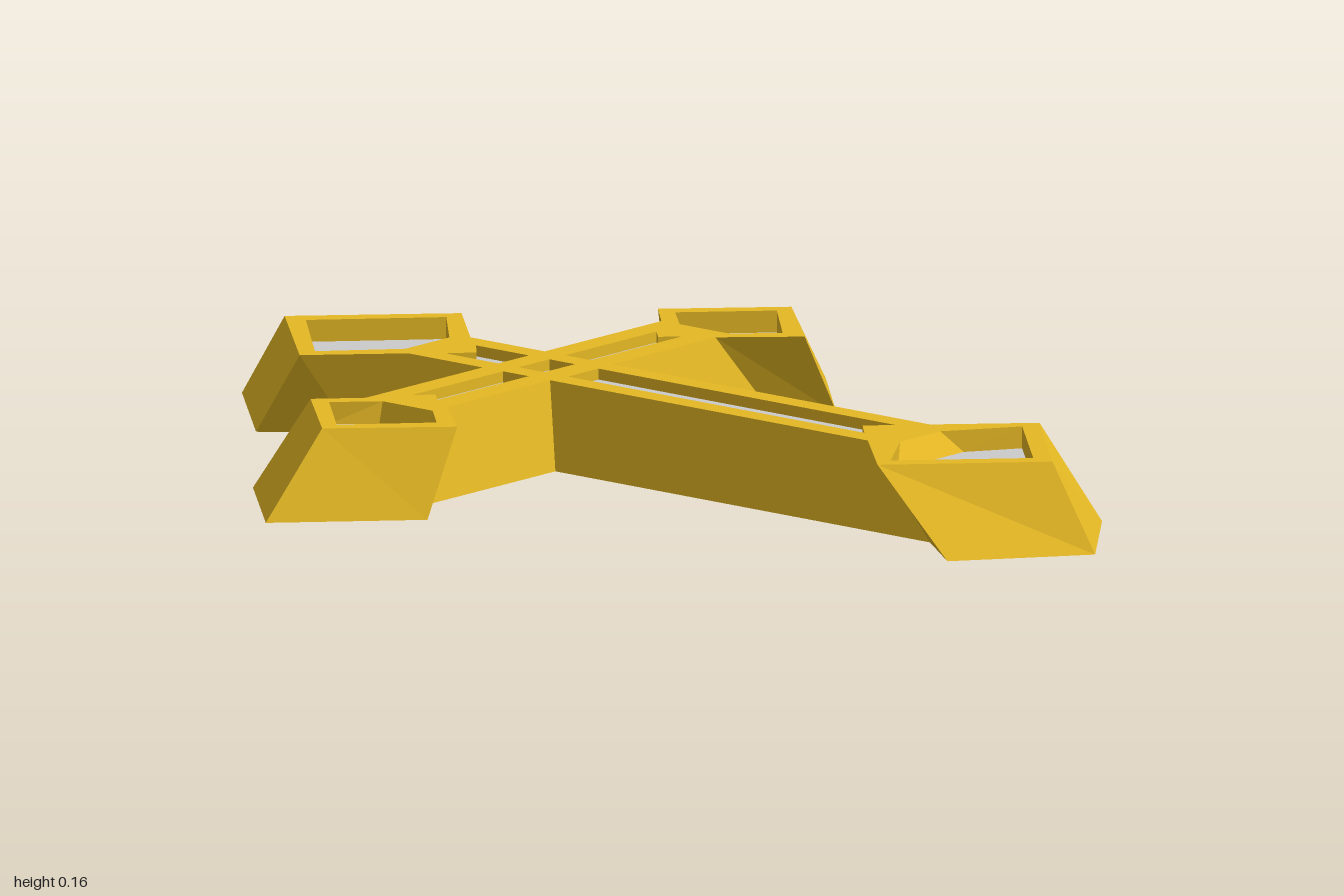
import * as THREE from 'three';

const HEIGHT = 0.155;

const gold = new THREE.MeshStandardMaterial({ color: 0xe5b824, flatShading: true });
const grey = new THREE.MeshStandardMaterial({ color: 0xcccccc, flatShading: true });

// Complete a right-hand half outline [x, z] (back to front) by mirroring it over x = 0.
function mirrorX(half) {
  const left = half.filter(([x]) => x !== 0).map(([x, z]) => [-x, z]).reverse();
  return [...half, ...left];
}

const flipX = (pts) => pts.map(([x, z]) => [-x, z]).reverse();

// Points in plan as Vector2, with z flipped so the shape faces up once laid flat.
const plan = (pts) => pts.map(([x, z]) => new THREE.Vector2(x, -z));

// Flat upward face at height y, optionally pierced by holes.
function flatFace(pts, y, holes = []) {
  const shape = new THREE.Shape(plan(pts));
  shape.holes = holes.map((h) => new THREE.Path(plan(h)));
  return new THREE.ShapeGeometry(shape).rotateX(-Math.PI / 2).translate(0, y, 0);
}

// Band of quads between a lower and an upper ring; inward walls face the ring's centre.
function walls(lower, yLow, upper, yHigh, inward = false) {
  const pos = [];
  const flip = THREE.ShapeUtils.isClockWise(plan(upper)) !== inward;
  lower.forEach((_, i) => {
    const j = (i + 1) % lower.length;
    const a = [lower[i][0], yLow, lower[i][1]];
    const b = [lower[j][0], yLow, lower[j][1]];
    const c = [upper[j][0], yHigh, upper[j][1]];
    const d = [upper[i][0], yHigh, upper[i][1]];
    pos.push(...(flip ? [a, c, b, a, d, c] : [a, b, c, a, c, d]).flat());
  });
  const geo = new THREE.BufferGeometry();
  geo.setAttribute('position', new THREE.Float32BufferAttribute(pos, 3));
  geo.computeVertexNormals();
  return geo;
}

export function createModel() {
  const group = new THREE.Group();
  const add = (name, geo, mat) => {
    const mesh = new THREE.Mesh(geo, mat);
    mesh.name = name;
    group.add(mesh);
  };

  // Cross outlines at the top and at the wider base, matched point for point
  const top = mirrorX([
    [0, -0.9], [0.222, -0.675], [0.085, -0.537], [0.085, -0.363],
    [0.405, -0.363], [0.476, -0.432], [0.643, -0.262], [0.476, -0.088], [0.368, -0.205],
    [0.085, -0.205], [0.085, 0.54], [0.222, 0.68], [0, 0.9],
  ]);
  const base = mirrorX([
    [0, -1], [0.222, -0.777], [0.117, -0.643], [0.117, -0.4],
    [0.48, -0.4], [0.566, -0.49], [0.767, -0.288], [0.561, -0.085], [0.48, -0.165],
    [0.117, -0.165], [0.117, 0.713], [0.212, 0.835], [0, 1],
  ]);

  // Recesses: rim outline, optional floor outline where a wall slopes, and depth
  const armPanel = [[0.603, -0.262], [0.474, -0.138], [0.407, -0.205], [0.407, -0.322], [0.474, -0.39]];
  const armPanelFloor = armPanel.map(([x, z]) => [Math.max(x, 0.416), z]);
  const armChannel = [[0.085, -0.315], [0.335, -0.315], [0.305, -0.285], [0.335, -0.255], [0.085, -0.255]];
  const recesses = [
    { name: 'backPanel', depth: 0.04,
      rim: mirrorX([[0, -0.85], [0.18, -0.675], [0.06, -0.565]]),
      floor: mirrorX([[0, -0.85], [0.18, -0.675], [0.075, -0.58]]) },
    { name: 'frontPanel', depth: 0.04,
      rim: mirrorX([[0.055, 0.59], [0.18, 0.675], [0, 0.855]]),
      floor: mirrorX([[0.09, 0.615], [0.18, 0.675], [0, 0.855]]) },
    { name: 'leftPanel', depth: 0.04, rim: armPanel, floor: armPanelFloor },
    { name: 'rightPanel', depth: 0.04, rim: flipX(armPanel), floor: flipX(armPanelFloor) },
    { name: 'leftChannel', depth: 0.02, rim: armChannel },
    { name: 'rightChannel', depth: 0.02, rim: flipX(armChannel) },
    { name: 'centreSquare', depth: 0.02, rim: mirrorX([[0.042, -0.315], [0.042, -0.255]]) },
    { name: 'backChannel', depth: 0.02,
      rim: mirrorX([[0, -0.45], [0.042, -0.487], [0.042, -0.363]]) },
    { name: 'frontChannel', depth: 0.02,
      rim: mirrorX([[0.042, -0.2], [0.042, 0.495], [0, 0.455]]) },
  ];

  // Solid cross: sloping sides, pierced top and closed underside
  add('crossSides', walls(base, 0, top, HEIGHT), gold);
  add('crossTop', flatFace(top, HEIGHT, recesses.map((r) => r.rim)), gold);
  add('crossUnderside', flatFace(base, 0).rotateZ(Math.PI), gold);

  // Sunken panels and channels: gold walls with grey floors
  for (const { name, rim, floor = rim, depth } of recesses) {
    add(name + 'Walls', walls(floor, HEIGHT - depth, rim, HEIGHT, true), gold);
    add(name + 'Floor', flatFace(floor, HEIGHT - depth), grey);
  }
  return group;
}
